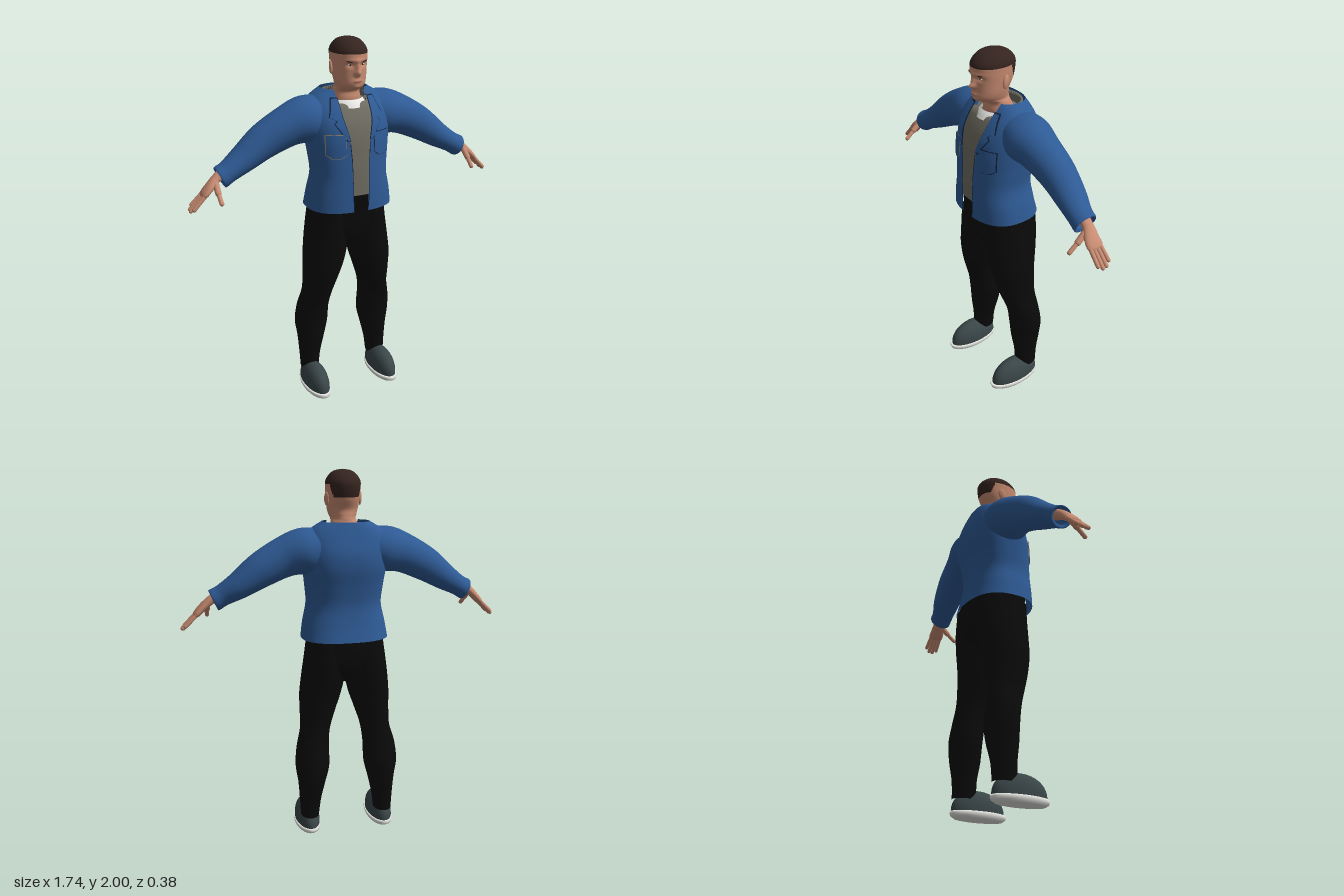
import * as THREE from 'three';

const mat = (name, color, side = THREE.FrontSide) => {
  const m = new THREE.MeshStandardMaterial({ color, side });
  m.name = name;
  return m;
};

// Catmull-Rom through rows of numbers, t in 0..1
function sample(keys, t) {
  const f = t * (keys.length - 1), i = Math.min(Math.floor(f), keys.length - 2), u = f - i;
  const k = (j) => keys[Math.max(0, Math.min(keys.length - 1, j))];
  const [a, b, c, d] = [k(i - 1), k(i), k(i + 1), k(i + 2)];
  return b.map((_, j) => 0.5 * (2 * b[j] + (c[j] - a[j]) * u
    + (2 * a[j] - 5 * b[j] + 4 * c[j] - d[j]) * u * u
    + (3 * b[j] - a[j] - 3 * c[j] + d[j]) * u * u * u));
}

// Skin over oval sections [x, y, z, ru, rv, tilt in degrees, half width of front gap]
function loft(keys, { rows = 40, seg = 36, n = 2, open = false } = {}) {
  const pos = [], idx = [], cols = open ? seg + 1 : seg;
  const pw = (v) => Math.sign(v) * Math.abs(v) ** (2 / n);
  for (let i = 0; i <= rows; i++) {
    const [x, y, z, ru0, rv0, tilt = 0, w = 0] = sample(keys, i / rows);
    const ru = Math.max(ru0, 0.0005), rv = Math.max(rv0, 0.0005), a = tilt * Math.PI / 180;
    const g = open ? Math.asin(Math.min(1, (w / ru) ** (n / 2))) : 0;
    for (let j = 0; j < cols; j++) {
      const th = Math.PI / 2 + g + (j / seg) * (2 * Math.PI - 2 * g);
      const u = pw(Math.cos(th)) * ru;
      pos.push(x + Math.cos(a) * u, y + Math.sin(a) * u, z + pw(Math.sin(th)) * rv);
    }
  }
  for (let i = 0; i < rows; i++) for (let j = 0; j < seg; j++) {
    const p = i * cols + j, q = i * cols + (j + 1) % cols;
    idx.push(p, p + cols, q, q, p + cols, q + cols);
  }
  return build(pos, idx);
}

function build(pos, idx) {
  const g = new THREE.BufferGeometry();
  g.setAttribute('position', new THREE.Float32BufferAttribute(pos, 3));
  g.setIndex(idx);
  g.computeVertexNormals();
  return g;
}

function mirrored(geo) {
  const g = geo.clone().scale(-1, 1, 1), a = g.index.array;
  for (let i = 0; i < a.length; i += 3) [a[i], a[i + 1]] = [a[i + 1], a[i]];
  return g;
}

const ball = (x, y, z, a, b, c) => new THREE.SphereGeometry(1, 20, 14).scale(a, b, c).translate(x, y, z);

function capsule(p, q, r) {
  const a = new THREE.Vector3(...p), b = new THREE.Vector3(...q), d = b.clone().sub(a);
  const g = new THREE.CapsuleGeometry(r, d.length(), 6, 12);
  g.applyQuaternion(new THREE.Quaternion().setFromUnitVectors(new THREE.Vector3(0, 1, 0), d.normalize()));
  return g.translate((p[0] + q[0]) / 2, (p[1] + q[1]) / 2, (p[2] + q[2]) / 2);
}

const TORSO = [
  [0, 1.115, 0.01, 0.235, 0.185, 0, 0.04], [0, 1.2, 0.02, 0.222, 0.175, 0, 0.043],
  [0, 1.3, 0.025, 0.202, 0.168, 0, 0.045], [0, 1.4, 0.015, 0.21, 0.172, 0, 0.048],
  [0, 1.5, 0, 0.222, 0.178, 0, 0.06], [0, 1.58, -0.01, 0.225, 0.168, 0, 0.075],
  [0, 1.65, -0.02, 0.22, 0.138, 0, 0.085], [0, 1.7, -0.03, 0.185, 0.11, 0, 0.085],
  [0, 1.738, -0.035, 0.125, 0.09, 0, 0.085]];
const TN = 2.5;
const torsoRows = Array.from({ length: 161 }, (_, i) => sample(TORSO, i / 160));

// Front of the jacket at x, y
function surfZ(x, y) {
  const r = torsoRows.find((k) => k[1] >= y) || torsoRows[160];
  return r[2] + r[4] * Math.max(0, 1 - Math.abs(x / r[3]) ** TN) ** (1 / TN);
}

// Thin panel lying on the jacket; rows of [y, inner x, outer x] from top to bottom
function panel(rows, lift, grow = 0) {
  const pos = [], idx = [], N = 8, M = 6, total = (rows.length - 1) * M;
  const [top, bottom] = [rows[0][0], rows[rows.length - 1][0]];
  for (let i = 0; i <= total; i++) {
    const k = Math.min(Math.floor(i / M), rows.length - 2), u = i / M - k;
    const [y0, a, b] = rows[k].map((v, j) => v + (rows[k + 1][j] - v) * u);
    const y = y0 + grow * (2 * (y0 - bottom) / (top - bottom) - 1);
    for (let j = 0; j <= N; j++) {
      const x = a - grow + (b - a + 2 * grow) * j / N;
      pos.push(x, y, surfZ(x, y) + lift);
    }
  }
  for (let i = 0; i < total; i++) for (let j = 0; j < N; j++) {
    const p = i * (N + 1) + j, q = p + N + 1;
    idx.push(p, q, p + 1, p + 1, q, q + 1);
  }
  return build(pos, idx);
}

// Head and neck, with the face shaped by soft bumps and the hair as a face group
function headGeometry() {
  const g = loft([
    [0, 1.62, -0.02, 0.1, 0.085], [0, 1.69, -0.005, 0.078, 0.075], [0, 1.73, 0.005, 0.07, 0.066],
    [0, 1.75, 0.032, 0.066, 0.09], [0, 1.77, 0.043, 0.073, 0.098], [0, 1.8, 0.043, 0.081, 0.098],
    [0, 1.85, 0.032, 0.087, 0.11], [0, 1.9, 0.029, 0.09, 0.119], [0, 1.94, 0.028, 0.089, 0.117],
    [0, 1.975, 0.028, 0.068, 0.088], [0, 1.993, 0.03, 0.04, 0.05], [0, 2.0, 0.03, 0, 0]],
  { rows: 110, seg: 80, n: 2.1 });
  const bumps = [ // x, y, spread x, spread y, height
    [0, 1.832, 0.014, 0.015, 0.028], [0, 1.86, 0.01, 0.022, 0.016], [0, 1.893, 0.05, 0.011, 0.006],
    [0.034, 1.872, 0.018, 0.012, -0.011], [-0.034, 1.872, 0.018, 0.012, -0.011],
    [0, 1.79, 0.025, 0.012, 0.007], [0, 1.76, 0.022, 0.012, 0.007]];
  const p = g.attributes.position;
  for (let i = 0; i < p.count; i++) {
    const x = p.getX(i), y = p.getY(i), z = p.getZ(i);
    if (z < 0.06) continue;
    p.setZ(i, bumps.reduce((s, [bx, by, sx, sy, h]) =>
      s + h * Math.exp(-(((x - bx) / sx) ** 2) - ((y - by) / sy) ** 2), z));
  }
  g.computeVertexNormals();
  const skin = [], hair = [], a = g.index.array;
  for (let i = 0; i < a.length; i += 3) {
    const t = [a[i], a[i + 1], a[i + 2]];
    const y = t.reduce((s, v) => s + p.getY(v) / 3, 0), z = t.reduce((s, v) => s + p.getZ(v) / 3, 0);
    const line = z > -0.025 ? 1.926 : Math.max(1.86, 1.926 + (z + 0.025) * 3);
    (y > line ? hair : skin).push(...t);
  }
  g.setIndex([...skin, ...hair]);
  g.addGroup(0, skin.length, 0);
  g.addGroup(skin.length, hair.length, 1);
  return g;
}

export function createModel() {
  const root = new THREE.Group();
  root.name = 'standingMan';
  const D = THREE.DoubleSide;
  const denim = mat('blue denim', 0x2e5a94, D), seam = mat('dark seam', 0x14243c, D);
  const stitch = mat('tan stitching', 0x8f8468, D), shirt = mat('grey shirt', 0x6f6d62, D);
  const white = mat('white', 0xe6e6e2, D), black = mat('black cloth', 0x0a0a0b);
  const skin = mat('skin', 0xc88c72), hair = mat('dark brown hair', 0x35241f);
  const lip = mat('lips', 0xa5695a), shoe = mat('slate shoe', 0x3a4648);
  const add = (name, geo, m) => {
    const mesh = new THREE.Mesh(geo, m);
    mesh.name = name;
    root.add(mesh);
  };
  const pair = (name, geo, m) => {
    add(name + 'Left', geo, m);
    add(name + 'Right', mirrored(geo), m);
  };

  // Head
  add('head', headGeometry(), [skin, hair]);
  add('mouth', ball(0, 1.79, 0.145, 0.024, 0.005, 0.006), lip);
  pair('ear', ball(0, 0, 0, 0.009, 0.036, 0.021).rotateY(0.3).rotateX(-0.15).translate(0.09, 1.85, 0.015), skin);
  pair('eye', ball(0.034, 1.872, 0.122, 0.012, 0.005, 0.008), white);
  pair('iris', ball(0.034, 1.872, 0.127, 0.0055, 0.005, 0.0045), hair);
  pair('eyebrow', ball(0, 0, 0, 0.02, 0.004, 0.006).rotateZ(0.12).rotateY(0.25).translate(0.037, 1.889, 0.136), hair);

  // Shirt, its white neckband and the ruffled back collar
  add('shirt', loft([...TORSO.slice(1, 7).map(([x, y, z, a, b]) => [x, y, z, a * 0.93, b * 0.92]),
    [0, 1.672, -0.015, 0.11, 0.1]], { n: TN }), shirt);
  add('neckband', loft([[0, 1.648, -0.005, 0.108, 0.118], [0, 1.67, -0.008, 0.1, 0.105],
    [0, 1.685, -0.01, 0.088, 0.092]], { rows: 8 }), white);
  add('backCollar', loft([[0, 1.66, -0.035, 0.122, 0.088, 0, 0.1], [0, 1.72, -0.035, 0.118, 0.084, 0, 0.1]],
    { rows: 4, open: true }), shirt);
  for (let i = 0; i < 19; i++) {
    const a = Math.PI * (1.08 + 0.84 * i / 18);
    add('collarRuffle', ball(0.108 * Math.cos(a), 1.718, -0.035 + 0.085 * Math.sin(a), 0.006, 0.012, 0.008), shirt);
  }

  // Jacket body, sleeves, lapels and pockets
  add('jacketBody', loft(TORSO, { rows: 60, seg: 64, n: TN, open: true }), denim);
  pair('sleeve', loft([
    [0.09, 1.62, -0.025, 0.085, 0.1, -102], [0.21, 1.588, -0.022, 0.122, 0.13, -108],
    [0.33, 1.555, -0.018, 0.105, 0.108, -116], [0.455, 1.492, -0.022, 0.091, 0.093, -121],
    [0.57, 1.415, -0.015, 0.07, 0.08, -124], [0.65, 1.368, 0, 0.057, 0.066, -121],
    [0.695, 1.343, 0.005, 0.058, 0.063, -115], [0.69, 1.346, 0.005, 0.04, 0.045, -115]],
  { rows: 56 }), denim);
  const lapel = [[1.7, 0.085, 0.115], [1.615, 0.083, 0.145], [1.6, 0.08, 0.11], [1.585, 0.077, 0.125], [1.5, 0.056, 0.068]];
  pair('lapelEdge', panel(lapel, 0.005, 0.004), seam);
  pair('lapel', panel(lapel, 0.009), denim);
  const pocket = [[1.53, 0.08, 0.175], [1.43, 0.08, 0.175], [1.41, 0.11, 0.145]];
  add('pocketEdgeLeft', panel(pocket, 0.006, 0.003), seam);
  add('pocketEdgeRight', mirrored(panel(pocket, 0.006, 0.003)), stitch);
  pair('pocket', panel(pocket, 0.009), denim);
  pair('frontEdge', panel([[1.49, 0.054, 0.058], [1.4, 0.047, 0.051], [1.3, 0.045, 0.048], [1.12, 0.041, 0.044]], 0.003), seam);

  // Hands
  pair('palm', loft([
    [0.66, 1.375, 0.003, 0.03, 0.034, -125], [0.71, 1.345, 0.006, 0.024, 0.03, -130],
    [0.755, 1.305, 0.018, 0.021, 0.042, -136], [0.79, 1.268, 0.02, 0.016, 0.042, -138],
    [0.8, 1.257, 0.02, 0, 0, -138]], { rows: 24, seg: 24 }), skin);
  [[-0.014, 0.845, 1.215], [0.009, 0.858, 1.2], [0.032, 0.86, 1.197], [0.053, 0.848, 1.208]].forEach(([z, x, y]) => {
    pair('finger', capsule([0.78, 1.278, z * 0.9 + 0.002], [x, y, z], 0.0105), skin);
  });
  pair('thumbBase', capsule([0.725, 1.325, 0.03], [0.727, 1.285, 0.075], 0.016), skin);
  pair('thumb', capsule([0.727, 1.285, 0.075], [0.725, 1.245, 0.122], 0.0115), skin);

  // Trousers
  add('trouserHips', loft([
    [0, 0.87, -0.005, 0.02, 0.05], [0, 0.91, -0.005, 0.1, 0.11], [0, 1.0, -0.008, 0.205, 0.148],
    [0, 1.12, -0.004, 0.208, 0.16], [0, 1.2, 0.012, 0.195, 0.157], [0, 1.245, 0.016, 0.19, 0.15],
    [0, 1.25, 0.016, 0, 0]], { n: 2.3 }), black);
  pair('trouserLeg', loft([
    [0.212, 0.1, -0.05, 0.05, 0.066], [0.208, 0.2, -0.052, 0.06, 0.068], [0.2, 0.3, -0.055, 0.075, 0.085],
    [0.195, 0.4, -0.055, 0.094, 0.09], [0.19, 0.5, -0.04, 0.09, 0.09], [0.172, 0.6, -0.017, 0.082, 0.102],
    [0.155, 0.7, -0.003, 0.096, 0.118], [0.138, 0.8, 0.002, 0.113, 0.132], [0.122, 0.9, -0.004, 0.118, 0.144],
    [0.112, 1.0, -0.008, 0.113, 0.15], [0.105, 1.12, -0.005, 0.102, 0.15]], { rows: 60 }), black);

  // Shoes: rounded uppers, lower at the heel, on oval soles
  const upper = new THREE.SphereGeometry(1, 32, 20), p = upper.attributes.position;
  for (let i = 0; i < p.count; i++) {
    const y = Math.max(p.getY(i), 0), z = p.getZ(i);
    p.setXYZ(i, p.getX(i) * 0.067, 0.035 + 0.12 * y ** 0.85, 0.032 + z * 0.153);
  }
  upper.computeVertexNormals();
  pair('shoe', upper.translate(0.213, 0, 0), shoe);
  const sole = new THREE.LatheGeometry([[0, 0], [0.85, 0.002], [0.97, 0.014], [1, 0.027], [0.97, 0.038], [0, 0.04]]
    .map(([r, y]) => new THREE.Vector2(r, y)), 40);
  pair('sole', sole.scale(0.072, 1, 0.163).translate(0.213, 0, 0.035), white);
  return root;
}
